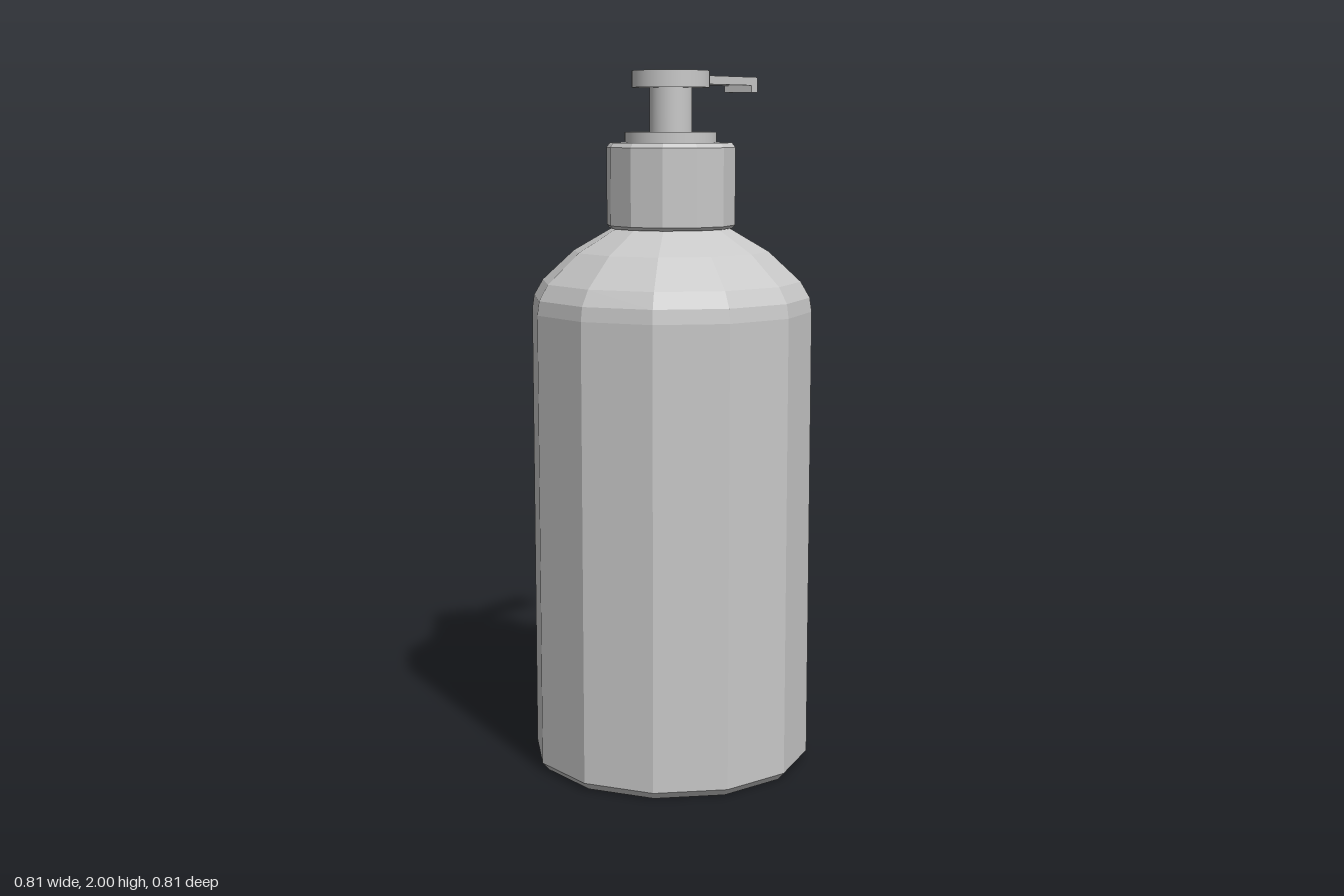
import * as THREE from 'three';

const lightGrey = new THREE.MeshStandardMaterial({ color: 0xc8c8c8 });
lightGrey.name = 'lightGrey';

function part(name, geometry, parent) {
  const mesh = new THREE.Mesh(geometry, lightGrey);
  mesh.name = name;
  parent.add(mesh);
  return mesh;
}

// Faceted twelve-sided turned solid, from [radius, height] pairs, bottom to top
function facetedLathe(profile) {
  const points = profile.map(([r, y]) => new THREE.Vector2(r, y));
  const geometry = new THREE.LatheGeometry(points, 12).toNonIndexed();
  geometry.computeVertexNormals();
  return geometry;
}

// Smooth disc or rod between two heights
function rod(radius, y0, y1) {
  return new THREE.CylinderGeometry(radius, radius, y1 - y0, 48).translate(0, (y0 + y1) / 2, 0);
}

export function createModel() {
  const model = new THREE.Group();
  model.name = 'pumpBottle';

  // Bottle with chamfered base and rounded shoulder
  part('bottleBody', facetedLathe([
    [0, 0], [0.385, 0], [0.404, 0.022], [0.404, 1.325], [0.398, 1.365],
    [0.372, 1.41], [0.28, 1.495], [0.165, 1.562], [0, 1.562],
  ]), model);

  // Screw cap with chamfered rims
  part('cap', facetedLathe([
    [0, 1.56], [0.176, 1.56], [0.184, 1.569], [0.184, 1.787], [0.174, 1.8], [0, 1.8],
  ]), model);

  // Pump
  const pump = new THREE.Group();
  pump.name = 'pump';
  model.add(pump);
  part('collar', rod(0.13, 1.795, 1.83), pump);
  part('stem', rod(0.06, 1.82, 1.96), pump);
  part('pumpHead', rod(0.11, 1.953, 2), pump);

  // Spout pointing backwards, with a lip turned down at its end
  const side = new THREE.Shape([
    [0.09, 1.964], [0.332, 1.964], [0.332, 1.944], [0.363, 1.944], [0.363, 1.988], [0.09, 1.988],
  ].map(([d, y]) => new THREE.Vector2(d, y)));
  const spout = new THREE.ExtrudeGeometry(side, { depth: 0.098, bevelEnabled: false });
  spout.translate(0, 0, -0.049).rotateY(Math.PI / 2);
  part('spout', spout, pump);

  return model;
}
